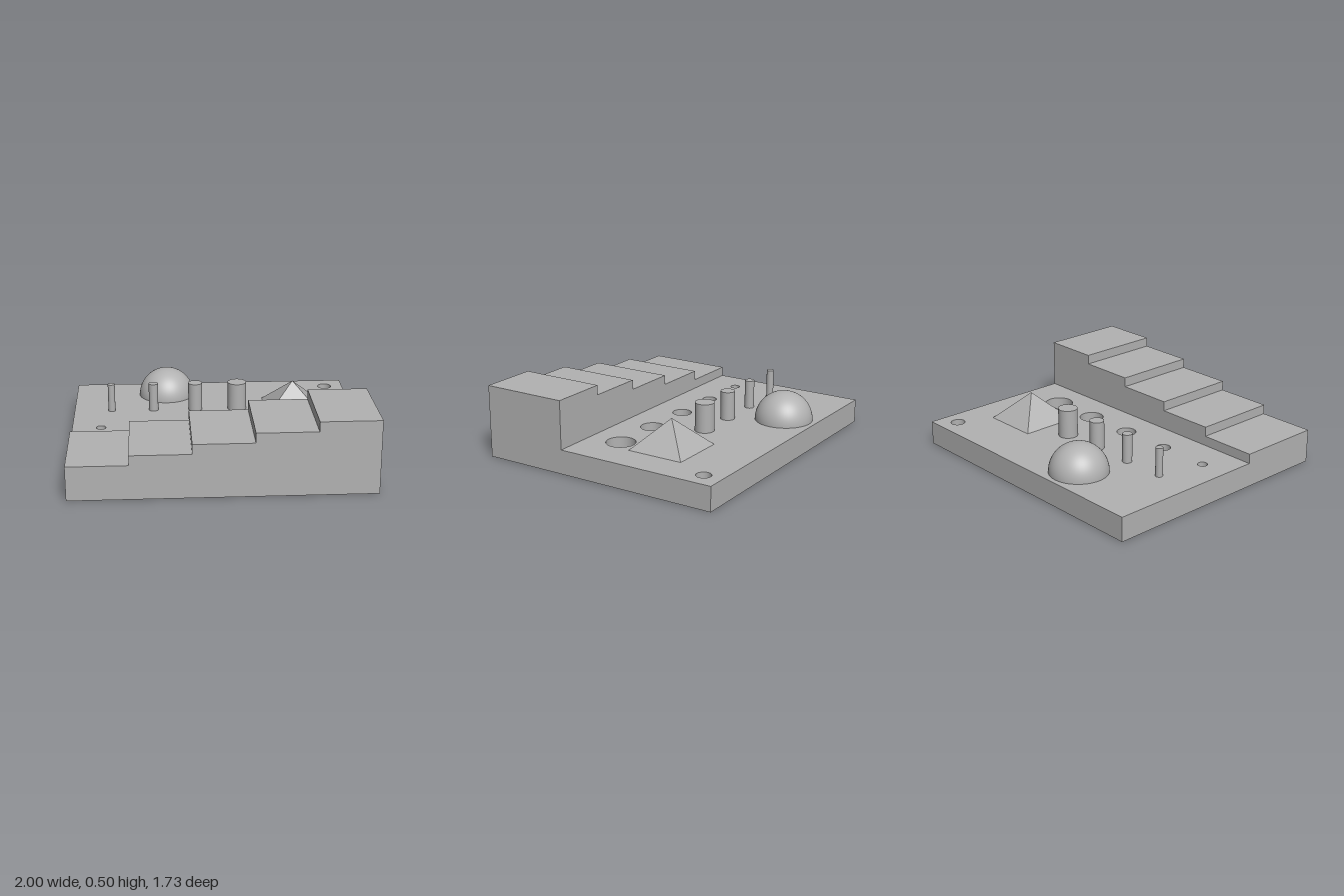
import * as THREE from 'three';

export function createModel() {
  const model = new THREE.Group();
  const grey = new THREE.MeshStandardMaterial({ color: 0xb2b2b2 });
  grey.name = 'grey';

  const BASE = 0.1667, BACK = -0.8667, FRONT = 0.8667, STEP_Z = 0.2667;
  const SEG = 40, HOLE_DEPTH = 0.1;

  const add = (name, geometry, x = 0, y = 0, z = 0) => {
    const mesh = new THREE.Mesh(geometry, grey);
    mesh.name = name;
    mesh.position.set(x, y, z);
    model.add(mesh);
    return mesh;
  };

  // Row of blind holes growing to the model's left, and one through hole: [x, z, radius]
  const blindHoles = [0, 1, 2, 3, 4].map(i => [-0.8 + i * 0.3667, 0.0333, (i + 2) / 60]);
  const throughHole = [0.8667, -0.7333, 0.05];

  // Base plate, drawn in x and -z, then laid flat
  const plate = new THREE.Shape([
    new THREE.Vector2(-1, -STEP_Z), new THREE.Vector2(1, -STEP_Z),
    new THREE.Vector2(1, -BACK), new THREE.Vector2(-1, -BACK),
  ]);
  for (const [x, z, r] of [...blindHoles, throughHole]) {
    plate.holes.push(new THREE.Path().absarc(x, -z, r, 0, Math.PI * 2, true));
  }
  add('basePlate', new THREE.ExtrudeGeometry(plate, { depth: BASE, bevelEnabled: false, curveSegments: SEG })
    .rotateX(-Math.PI / 2));

  // Floors of the blind holes, and the underside that closes them
  for (const [x, z, r] of blindHoles) {
    add('holeFloor', new THREE.CircleGeometry(r, SEG).rotateX(-Math.PI / 2), x, BASE - HOLE_DEPTH, z);
    add('holeUnderside', new THREE.CircleGeometry(r, SEG).rotateX(Math.PI / 2), x, 0, z);
  }

  // Five-step staircase along the front
  const profile = new THREE.Shape().moveTo(-1, 0);
  for (let i = 0; i < 5; i++) {
    const top = 0.2333 + i * 0.0667;
    profile.lineTo(-1 + i * 0.4, top).lineTo(-0.6 + i * 0.4, top);
  }
  profile.lineTo(1, 0);
  add('staircase', new THREE.ExtrudeGeometry(profile, { depth: FRONT - STEP_Z, bevelEnabled: false }), 0, 0, STEP_Z);

  // Four pins of growing thickness
  [0.025, 0.0333, 0.05, 0.0667].forEach((r, i) =>
    add('pin', new THREE.CylinderGeometry(r, r, 0.2, SEG), -0.7333 + i * 0.3, BASE + 0.1, -0.3));

  // Dome
  add('dome', new THREE.SphereGeometry(0.2, 48, 20, 0, Math.PI * 2, 0, Math.PI / 2), -0.3333, BASE, -0.6333);

  // Square pyramid with flat sides
  const pyramid = new THREE.ConeGeometry(0.2 * Math.SQRT2, 0.2, 4, 1, true)
    .rotateY(Math.PI / 4).toNonIndexed();
  pyramid.computeVertexNormals();
  add('pyramid', pyramid, 0.5667, BASE + 0.1, -0.3);

  return model;
}
